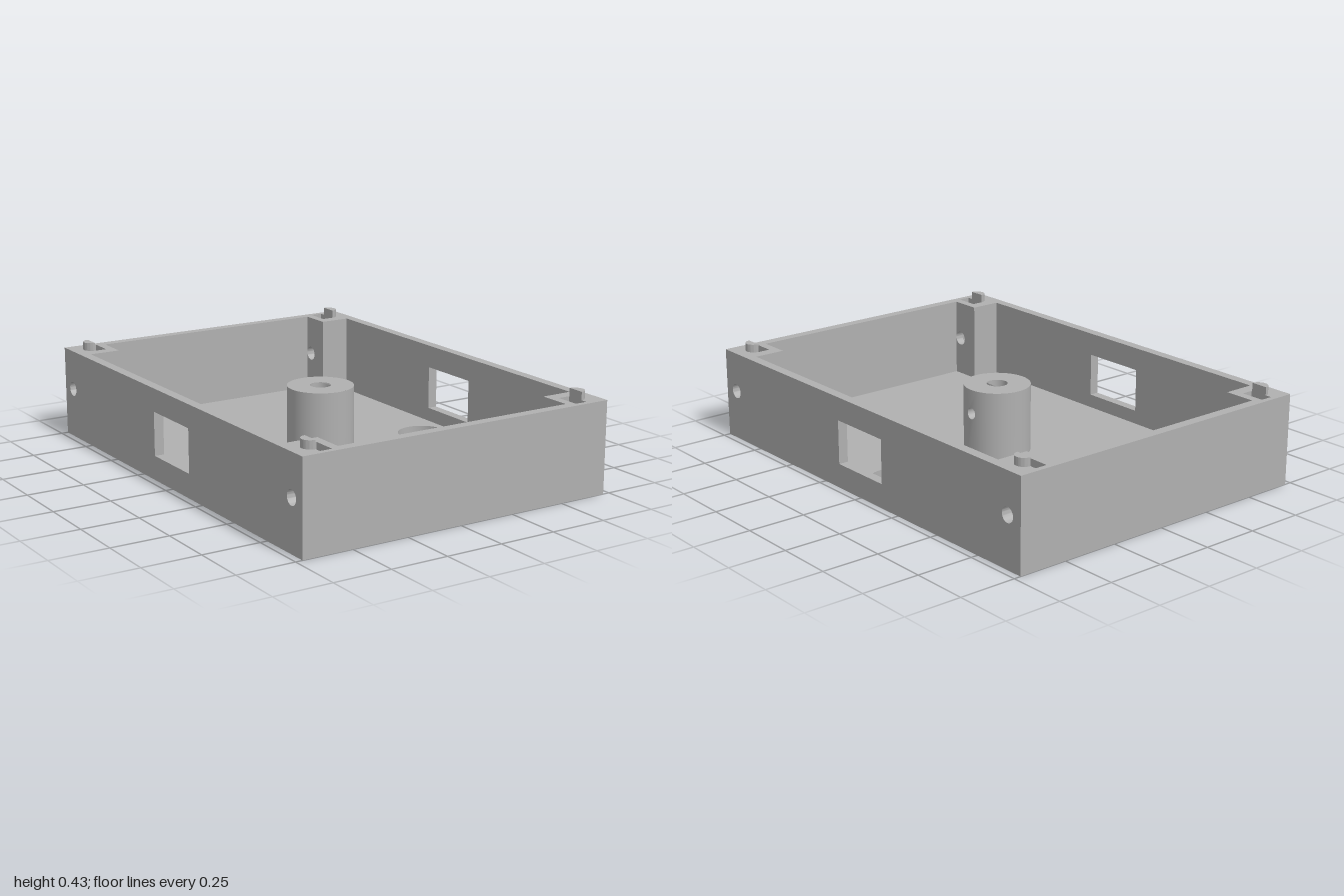
import * as THREE from 'three';
import { toCreasedNormals } from 'three/addons/utils/BufferGeometryUtils.js';

const W = 0.72, L = 1, H = 0.395;      // half width, half length, wall height
const WALL = 0.043, FLOOR = 0.045;     // thicknesses
const BORE_R = 0.045, BOSS_R = 0.143, BOSS_TOP = 0.34;
const PIN_Y = 0.235, PIN_R = 0.025;    // cross hole in the boss
const SCREW_Y = 0.22, SCREW_Z = 0.925, SCREW_R = 0.032;

const polygon = (pts) => new THREE.Shape(pts.map(([x, y]) => new THREE.Vector2(x, y)));
const rect = (x0, y0, x1, y1) => polygon([[x0, y0], [x1, y0], [x1, y1], [x0, y1]]);
const circle = (x, y, r) => {
  const p = new THREE.Path();
  p.absarc(x, y, r, 0, Math.PI * 2, true);
  return p;
};

const extrude = (shape, depth) => toCreasedNormals(
  new THREE.ExtrudeGeometry(shape, { depth, bevelEnabled: false, curveSegments: 20 }), 0.5);

// Plan shape (x, -z) raised from y0
const raise = (shape, y0, h) => extrude(shape, h).rotateX(-Math.PI / 2).translate(0, y0, 0);

// Side shape (-z, y) thickened from xa to xb
const across = (shape, xa, xb) =>
  extrude(shape, Math.abs(xb - xa)).rotateY(Math.PI / 2).translate(Math.min(xa, xb), 0, 0);

// Curved patch on the +x side of a cylinder, pierced by the cross hole
function piercedPatch(r, halfWidth) {
  const shape = rect(-halfWidth, FLOOR, halfWidth, BOSS_TOP);
  shape.holes.push(circle(0, PIN_Y, PIN_R));
  const geo = new THREE.ShapeGeometry(shape, 20);
  const p = geo.attributes.position, n = geo.attributes.normal;
  for (let i = 0; i < p.count; i++) {
    const z = -p.getX(i), x = Math.sqrt(r * r - z * z);
    p.setXYZ(i, x, p.getY(i), z);
    n.setXYZ(i, x / r, 0, z / r);
  }
  return geo;
}

export function createModel() {
  const group = new THREE.Group();
  const grey = new THREE.MeshStandardMaterial({ color: 0xb0b0b0, side: THREE.DoubleSide });
  grey.name = 'grey plastic';
  const add = (name, geo, parent = group) => {
    const mesh = new THREE.Mesh(geo, grey);
    mesh.name = name;
    parent.add(mesh);
    return mesh;
  };

  // Floor with the boss bore and the cable hole
  const floor = rect(-W, -L, W, L);
  floor.holes.push(circle(0, 0, BORE_R), circle(0.54, 0, 0.11));
  add('floor', raise(floor, 0, FLOOR));

  // Long side walls with window and screw holes
  for (const sx of [-1, 1]) {
    const wall = rect(-L, FLOOR, L, H);
    wall.holes.push(rect(-0.147, 0.105, 0.147, 0.295));
    for (const s of [-1, 1]) wall.holes.push(circle(s * SCREW_Z, SCREW_Y, SCREW_R));
    add(sx > 0 ? 'leftWall' : 'rightWall', across(wall, sx * (W - WALL), sx * W));
  }

  // End walls between the corner posts
  for (const sz of [-1, 1]) {
    const geo = new THREE.BoxGeometry(1.08, H - FLOOR, WALL);
    geo.translate(0, (H + FLOOR) / 2, sz * (L - WALL / 2));
    add(sz > 0 ? 'frontWall' : 'backWall', geo);
  }

  // Corner posts: drilled slabs either side of a nut slot, with a locating peg
  for (const sx of [-1, 1]) for (const sz of [-1, 1]) {
    const post = new THREE.Group();
    post.name = 'cornerPost';
    group.add(post);
    const u = (z) => -sz * z;
    for (const [xa, xb] of [[0.54, 0.577], [0.63, W - WALL]]) {
      const slab = rect(u(0.82), FLOOR, u(L), H);
      slab.holes.push(circle(u(SCREW_Z), SCREW_Y, SCREW_R));
      add('postSlab', across(slab, sx * xa, sx * xb), post);
    }
    const slot = polygon([[u(0.82), FLOOR], [u(L), FLOOR], [u(L), H], [u(0.976), H],
      [u(0.976), 0.17], [u(0.872), 0.17], [u(0.872), H], [u(0.82), H]]);
    add('nutSlot', across(slot, sx * 0.577, sx * 0.63), post);

    const peg = new THREE.Shape();
    const start = sx > 0 ? -Math.PI / 2 : Math.PI / 2;
    peg.absarc(sx * 0.63, u(0.911), 0.037, start, start + Math.PI, false);
    peg.closePath();
    add('peg', raise(peg, H, 0.035), post);
  }

  // Central boss: outer and bore surfaces, top ring and cross hole
  const boss = new THREE.Group();
  boss.name = 'centralBoss';
  group.add(boss);
  const half = 0.032;
  for (const [name, r] of [['bossOuter', BOSS_R], ['bossBore', BORE_R]]) {
    const a = Math.asin(half / r);
    const shell = new THREE.CylinderGeometry(r, r, BOSS_TOP - FLOOR, 48, 1, true,
      Math.PI / 2 + a, Math.PI * 2 - 2 * a);
    shell.translate(0, (BOSS_TOP + FLOOR) / 2, 0);
    add(name, shell, boss);
    add(name + 'Drilled', piercedPatch(r, half), boss);
  }
  add('bossTop', new THREE.RingGeometry(BORE_R, BOSS_R, 48)
    .rotateX(-Math.PI / 2).translate(0, BOSS_TOP, 0), boss);

  // Cross hole lining, its ends trimmed to the two curved surfaces
  const lining = new THREE.CylinderGeometry(PIN_R, PIN_R, 1, 24, 1, true).rotateZ(-Math.PI / 2);
  const p = lining.attributes.position;
  for (let i = 0; i < p.count; i++) {
    const r = p.getX(i) > 0 ? BOSS_R : BORE_R, z = p.getZ(i);
    p.setXYZ(i, Math.sqrt(r * r - z * z), p.getY(i) + PIN_Y, z);
  }
  add('crossHole', lining, boss);

  return group;
}
